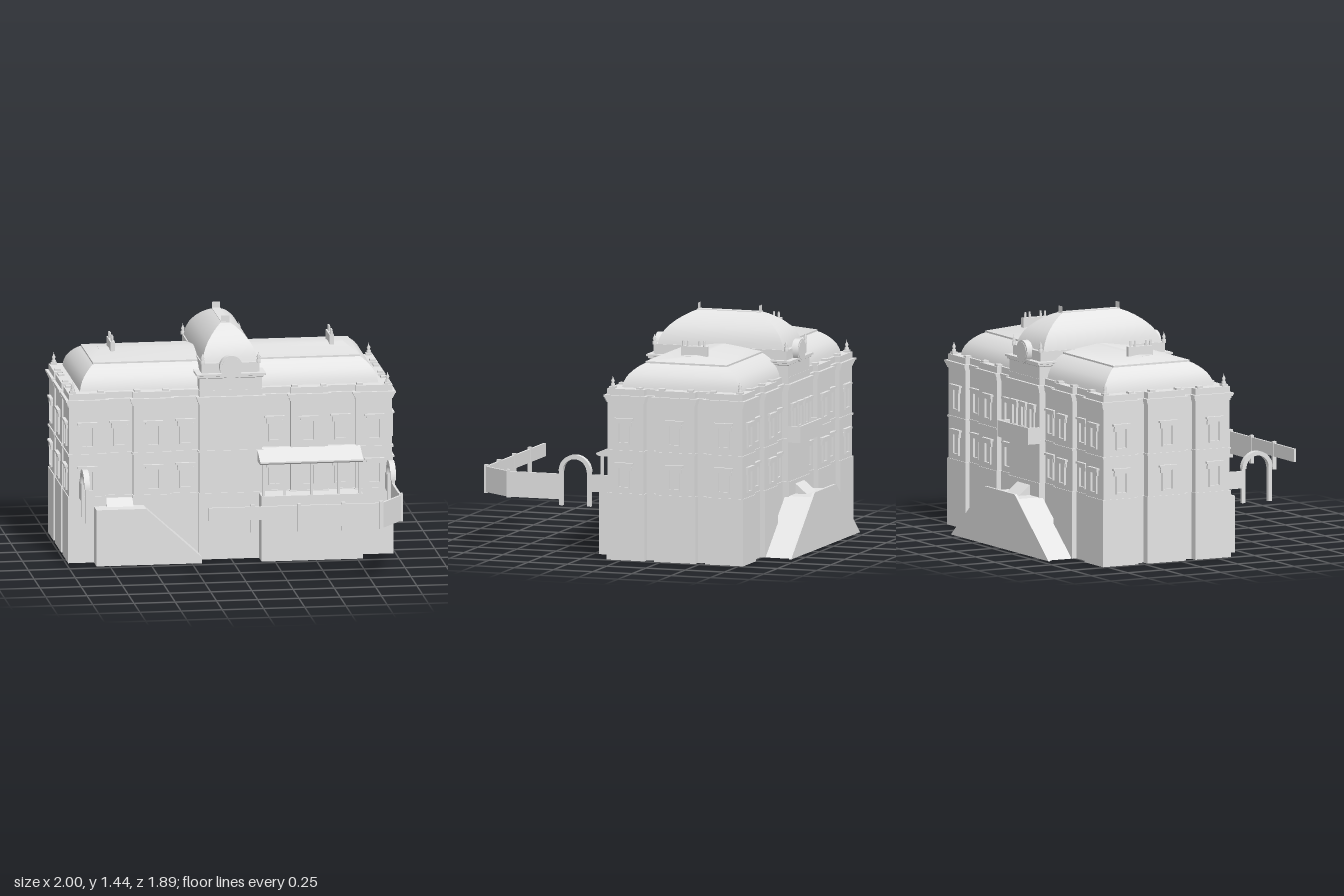
import * as THREE from 'three';
import { toCreasedNormals } from 'three/addons/utils/BufferGeometryUtils.js';

const ZC = -0.34, X = 0.98, H = 0.43; // building centre and half extents

export function createModel() {
  const root = new THREE.Group();
  const stone = new THREE.MeshStandardMaterial({ color: 0xe4e4e4, side: THREE.DoubleSide });
  stone.name = 'pale grey stone';

  const add = (name, geo, parent = root) => {
    const m = new THREE.Mesh(geo, stone);
    m.name = name;
    parent.add(m);
    return m;
  };
  // Box given by its limits
  const box = (name, x0, x1, y0, y1, z0, z1, parent) => {
    const g = new THREE.BoxGeometry(x1 - x0, y1 - y0, z1 - z0);
    g.translate((x0 + x1) / 2, (y0 + y1) / 2, (z0 + z1) / 2);
    add(name, g, parent);
  };
  const vecs = pts => pts.map(p => new THREE.Vector2(p[0], p[1]));
  const extrude = (shape, depth) => new THREE.ExtrudeGeometry(shape, { depth, bevelEnabled: false, curveSegments: 16 });
  // Hollow shells: keep only faces whose normal height lies between lo and hi
  const keepFaces = (g, lo, hi) => {
    const p = g.attributes.position, n = g.attributes.normal, pos = [], nor = [];
    for (let i = 0; i < p.count; i++) {
      if (n.getY(i) < lo || n.getY(i) > hi) continue;
      pos.push(p.getX(i), p.getY(i), p.getZ(i));
      nor.push(n.getX(i), n.getY(i), n.getZ(i));
    }
    const out = new THREE.BufferGeometry();
    out.setAttribute('position', new THREE.Float32BufferAttribute(pos, 3));
    out.setAttribute('normal', new THREE.Float32BufferAttribute(nor, 3));
    return out;
  };

  // Stepped floor plan with projecting bays, grown outwards by o
  const plan = o => {
    const q = [
      [X + o, 0.125 + o], [X - 0.05 + o, 0.125 + o], [X - 0.05 + o, 0.2 - o], [X + o, 0.2 - o],
      [X + o, H + o], [0.76 - o, H + o], [0.76 - o, H - 0.03 + o], [0.59 + o, H - 0.03 + o],
      [0.59 + o, H + o], [0.365 - o, H + o], [0.365 - o, H - 0.03 + o],
      [0.19 + o, H - 0.03 + o], [0.19 + o, H + 0.01 + o],
    ];
    const r = [...q].reverse();
    return [...q, ...r.map(p => [-p[0], p[1]]), ...q.map(p => [-p[0], -p[1]]), ...r.map(p => [p[0], -p[1]])];
  };
  const layer = (o, y0, y1, inner) => {
    const s = new THREE.Shape(vecs(plan(o)));
    if (inner !== undefined) s.holes.push(new THREE.Path(vecs(plan(inner))));
    return extrude(s, y1 - y0).rotateX(-Math.PI / 2).translate(0, y0, ZC);
  };
  const shell = (name, o, y0, y1) => add(name, keepFaces(layer(o, y0, y1), -0.9, 0.9));
  const band = (name, o, y0, y1) => add(name, layer(o, y0, y1, 0.0005));
  shell('basePlinth', 0.006, 0, 0.405);
  shell('walls', 0, 0.405, 1.0);
  band('baseLedge', 0.006, 0.4, 0.406);
  band('stringCourse', 0.007, 0.655, 0.667);
  band('frieze', 0.005, 0.955, 0.966);
  band('lowerCornice', 0.01, 0.966, 0.978);
  band('middleCornice', 0.015, 0.978, 0.988);
  band('upperCornice', 0.02, 0.988, 1.0);
  add('parapet', keepFaces(layer(0.002, 1.0, 1.038), -0.9, 2));

  // Parapet posts and corner finials
  const post = (x, z) => box('parapetPost', x - 0.018, x + 0.018, 1.03, 1.05, z - 0.018, z + 0.018);
  const finial = (x, y, z) => {
    const g = new THREE.LatheGeometry(vecs([[0.013, 0], [0.013, 0.02], [0.007, 0.026], [0.012, 0.038], [0.004, 0.052], [0, 0.07]]), 8);
    g.translate(x, y, z);
    add('finial', g);
  };
  for (const sx of [-1, 1]) for (const sz of [-1, 1]) {
    for (const x of [0.955, 0.785, 0.565, 0.39]) post(sx * x, ZC + sz * 0.405);
    for (const z of [0.235, 0.09]) post(sx * 0.955, ZC + sz * z);
    finial(sx * 0.955, 1.045, ZC + sz * 0.405);
    finial(sx * 0.17, 1.195, ZC + sz * 0.42);
  }

  // Four-sided loft through rectangles [halfX, halfZ, y]
  const loft = (name, rings, zc) => {
    const pos = [], idx = [];
    const corners = [[-1, 1], [1, 1], [1, -1], [-1, -1]];
    for (let s = 0; s < 4; s++) {
      const base = pos.length / 3;
      rings.forEach(([hx, hz, y], i) => {
        for (const c of [corners[s], corners[(s + 1) % 4]]) pos.push(c[0] * hx, y, zc + c[1] * hz);
        if (i) {
          const a = base + 2 * i - 2;
          idx.push(a, a + 1, a + 3, a, a + 3, a + 2);
        }
      });
    }
    const g = new THREE.BufferGeometry();
    g.setAttribute('position', new THREE.Float32BufferAttribute(pos, 3));
    g.setIndex(idx);
    add(name, toCreasedNormals(g, 0.5));
  };
  // Bulging roof section: [height share, spread share]
  const bulge = [[0, 1], [0.2, 0.95], [0.42, 0.83], [0.56, 0.71], [0.7, 0.55], [0.825, 0.37], [0.93, 0.18], [1, 0]];
  const curved = (hx, hz, dx, dz, y, h) => bulge.map(([t, u]) => [hx - dx * (1 - u), hz - dz * (1 - u), y + h * t]);

  loft('mansardRoof', curved(0.905, 0.375, 0.1, 0.12, 1.037, 0.143), -0.35);
  loft('upperRoof', [[0.81, 0.26, 1.172], [0.81, 0.26, 1.188], [0.74, 0.035, 1.22], [0.74, 0, 1.222]], -0.35);

  // Central tower with cornice, attic and tall dome
  loft('tower', [
    [0.19, 0.44, 1.0], [0.19, 0.44, 1.11], [0.2, 0.45, 1.115], [0.2, 0.45, 1.125], [0.21, 0.46, 1.128],
    [0.21, 0.46, 1.14], [0.175, 0.425, 1.14], [0.175, 0.425, 1.2], [0.16, 0.39, 1.2],
  ], ZC);
  loft('dome', curved(0.168, 0.4, 0.143, 0.205, 1.2, 0.2), ZC);
  box('domeRidge', -0.025, 0.025, 1.392, 1.403, ZC - 0.2, ZC + 0.2);
  for (const s of [-1, 1]) {
    const crest = new THREE.PlaneGeometry(0.05, 0.04);
    crest.translate(0, 1.42, ZC + s * 0.195);
    add('ridgeCrest', crest);
    // Round clock drum on each gable
    for (const [r, d] of [[0.07, 0.04], [0.058, 0.046]]) {
      const drum = new THREE.CylinderGeometry(r, r, d, 28);
      drum.rotateX(Math.PI / 2).translate(0, 1.18, ZC + s * 0.438);
      add('clockDrum', drum);
    }
    // Chimney stack with pots
    box('chimneyStack', s * 0.665 - 0.014, s * 0.665 + 0.014, 1.19, 1.272, -0.435, -0.27);
    for (const z of [-0.28, -0.31, -0.385, -0.415]) {
      const pot = new THREE.CylinderGeometry(0.006, 0.008, 0.036, 8);
      pot.translate(s * 0.665, 1.288, z);
      add('chimneyPot', pot);
    }
  }

  // Window: frame and bracketed head, on a wall facing angle ry
  const frame = new THREE.Shape(vecs([[-0.038, 0], [0.038, 0], [0.038, 0.135], [-0.038, 0.135]]));
  frame.holes.push(new THREE.Path(vecs([[-0.03, 0.01], [-0.03, 0.125], [0.03, 0.125], [0.03, 0.01]])));
  const frameGeo = extrude(frame, 0.013);
  const win = (x, y, z, ry, narrow = 1) => {
    const g = new THREE.Group();
    g.name = 'window';
    add('windowFrame', frameGeo, g);
    box('windowHead', -0.06, 0.06, 0.145, 0.157, 0, 0.02, g);
    box('windowFrieze', -0.048, 0.048, 0.132, 0.145, 0, 0.014, g);
    for (const s of [-1, 1]) box('windowBracket', s * 0.044 - 0.006, s * 0.044 + 0.006, 0.11, 0.132, 0, 0.012, g);
    g.position.set(x, y, z);
    g.rotation.y = ry;
    g.scale.x = narrow;
    root.add(g);
  };
  for (const y of [0.705, 0.435]) {
    for (const s of [-1, 1]) {
      for (const [x, d] of [[0.87, 0], [0.67, 0.03], [0.47, 0], [0.27, 0.03]]) {
        win(s * x, y, ZC - H + d, Math.PI);
        if (!(y < 0.5 && s < 0 && x === 0.67)) win(s * x, y, ZC + H - d, 0);
      }
      for (const z of [-0.015, -0.335, -0.65]) win(s * X, y, z, s * Math.PI / 2);
    }
  }
  for (const x of [-0.11, 0, 0.11]) win(x, 0.72, ZC - H - 0.01, Math.PI, 0.7);

  // Upright profile in x/y, run along z and open underneath
  const slab = (name, pts, z0, z1) => {
    const g = extrude(new THREE.Shape(vecs(pts)), z1 - z0);
    g.translate(0, 0, z0);
    add(name, keepFaces(g, -0.9, 2));
  };
  // Profile in z/y, run along x
  const wedge = (name, pts, x0, x1) => {
    const g = extrude(new THREE.Shape(vecs(pts)), x1 - x0);
    g.rotateY(-Math.PI / 2).translate(x1, 0, 0);
    add(name, g);
  };

  // Front stair on the model's right, with steps up to the side door
  slab('frontStair', [[-0.83, 0], [-0.19, 0], [-0.19, 0.035], [-0.53, 0.345], [-0.83, 0.345]], 0.06, 0.208);
  wedge('doorSteps', [[0.06, 0.345], [0.13, 0.345], [0.08, 0.39], [0.06, 0.39]], -0.755, -0.595);

  // Double back stair with parapet, door steps and balcony
  slab('backStair', [[-0.59, 0], [0.585, 0], [0.19, 0.32], [-0.19, 0.32]], -0.935, -0.76);
  slab('backStairParapet', [[-0.62, 0], [0.615, 0], [0.19, 0.35], [-0.19, 0.35]], -0.95, -0.935);
  wedge('backDoorSteps', [[-0.86, 0.32], [-0.77, 0.32], [-0.77, 0.395]], -0.08, 0.08);
  box('balconyFloor', -0.19, 0.19, 0.645, 0.66, -0.855, -0.77);
  box('balconyFront', -0.195, 0.195, 0.645, 0.745, -0.86, -0.848);
  for (const s of [-1, 1]) box('balconySide', s * 0.189 - 0.006, s * 0.189 + 0.006, 0.645, 0.745, -0.85, -0.775);

  // Covered front porch
  slab('porchPodium', [[0.17, 0], [0.785, 0], [0.785, 0.4], [0.17, 0.4]], 0.05, 0.215);
  for (const x of [0.185, 0.31, 0.475, 0.64, 0.77]) box('porchPost', x - 0.008, x + 0.008, 0.4, 0.6, 0.19, 0.206);
  wedge('porchRoof', [[0.06, 0.595], [0.215, 0.595], [0.232, 0.605], [0.232, 0.614], [0.085, 0.672], [0.06, 0.672]], 0.16, 0.785);

  // Garden arches on slim legs, joined to the house by short walls
  for (const x of [-0.915, 0.942]) {
    const s = new THREE.Shape();
    s.absarc(0, 0, 0.102, 0, Math.PI, false);
    s.lineTo(-0.076, 0);
    s.absarc(0, 0, 0.076, Math.PI, 0, true);
    const g = extrude(s, 0.034);
    g.rotateY(Math.PI / 2).translate(x - 0.017, 0.518, 0.308);
    add('gardenArch', g);
    for (const z of [0.219, 0.397]) box('archLeg', x - 0.01, x + 0.01, 0.31, 0.52, z - 0.012, z + 0.012);
    box('archWall', x - 0.006, x + 0.006, 0.4, 0.505, 0.08, 0.21);
  }

  // Garden wall: [x, z, bottom of the stretch that follows]
  const path = [[-0.255, 0.93, 0.42], [0.015, 0.93, 0.42], [0.295, 0.93, 0.365], [0.565, 0.93, 0.375],
    [0.795, 0.93, 0.345], [0.94, 0.735, 0.345], [0.94, 0.41, 0]];
  path.forEach(([x, z, y], i) => {
    if (i > 0 && i < 6) box('wallPost', x - 0.011, x + 0.011, 0.34, 0.512, z - 0.011, z + 0.011);
    if (i === 6) return;
    const [nx, nz] = path[i + 1];
    const g = new THREE.BoxGeometry(Math.hypot(nx - x, nz - z), 0.5 - y, 0.014);
    g.rotateY(-Math.atan2(nz - z, nx - x)).translate((x + nx) / 2, (y + 0.5) / 2, (z + nz) / 2);
    add('gardenWall', g);
  });
  return root;
}
